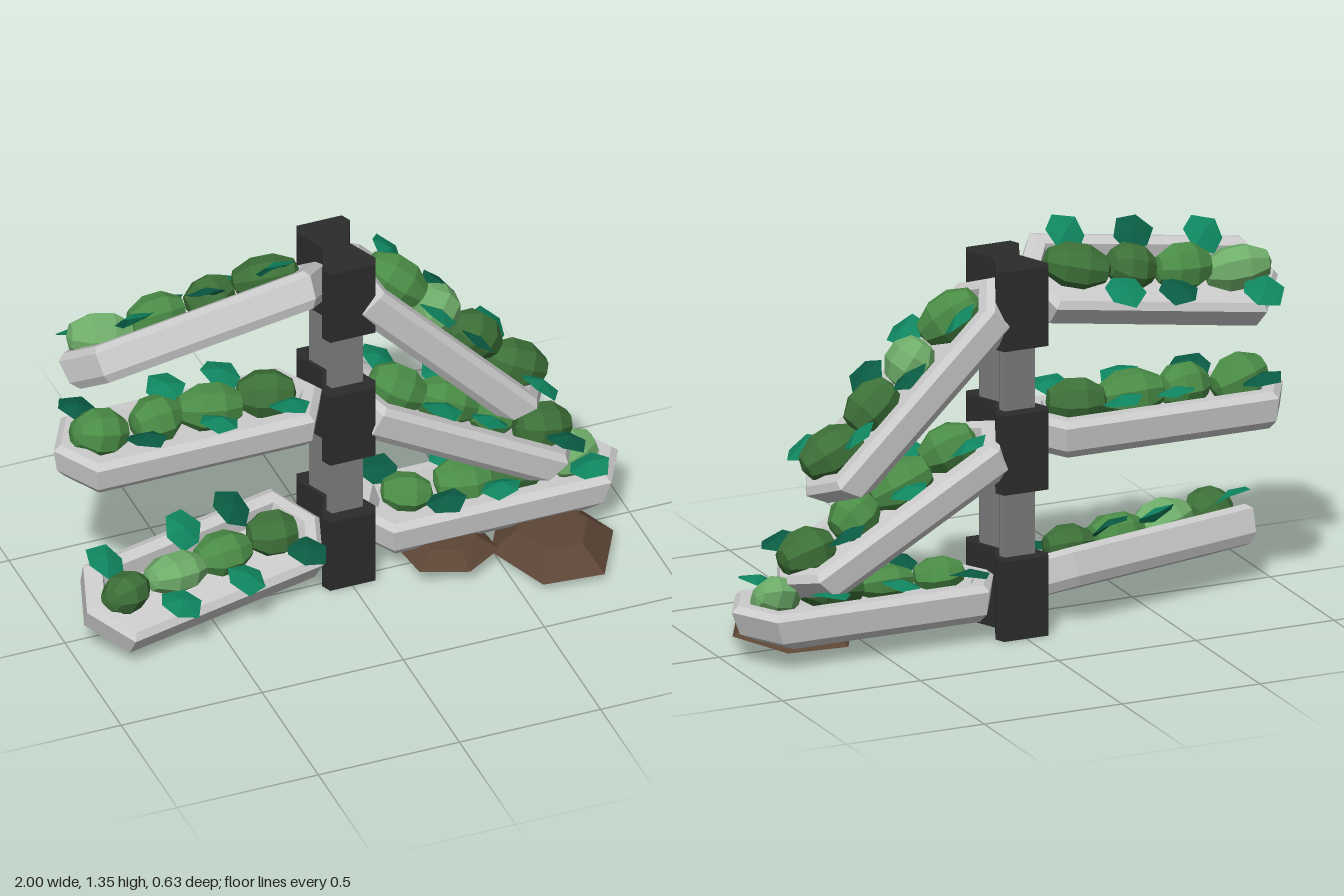
import * as THREE from 'three';

const mat = (color, side = THREE.FrontSide) =>
  new THREE.MeshStandardMaterial({ color, flatShading: true, side });
const GREY = mat(0xcccccc), POST = mat(0x7a7a7a), BLOCK = mat(0x2b2b2b), SOIL = mat(0x5c4535);
const GREENS = [0x3d7038, 0x4a8c46, 0x6fae6a].map((c) => mat(c)); // dark, mid, light
const LEAF = mat(0x0f8560, THREE.DoubleSide), DARK_LEAF = mat(0x0a5c44, THREE.DoubleSide);

function add(parent, name, geometry, material, x = 0, y = 0, z = 0) {
  const mesh = new THREE.Mesh(geometry, material);
  mesh.name = name;
  mesh.position.set(x, y, z);
  parent.add(mesh);
  return mesh;
}

// Joins rings of equal length and closes both ends
function loft(rings) {
  const pos = [], n = rings[0].length;
  const tri = (a, b, c) => pos.push(...a, ...b, ...c);
  for (let r = 0; r < rings.length - 1; r++) {
    for (let i = 0; i < n; i++) {
      const j = (i + 1) % n, A = rings[r], B = rings[r + 1];
      tri(A[i], B[i], B[j]);
      tri(A[i], B[j], A[j]);
    }
  }
  const first = rings[0], last = rings[rings.length - 1];
  for (let i = 1; i < n - 1; i++) {
    tri(first[0], first[i], first[i + 1]);
    tri(last[0], last[i + 1], last[i]);
  }
  const g = new THREE.BufferGeometry();
  g.setAttribute('position', new THREE.Float32BufferAttribute(pos, 3));
  g.computeVertexNormals();
  return g;
}

// Long six-sided tray running along +x with its rim at y = 0
function trayGeometry(length, taper) {
  const HW = 0.165;
  const ring = (inset, y, cut = 0) => {
    const w = HW - inset, a = inset * 1.1, b = length - a - cut * taper, t = 0.09 * w / HW;
    return [[a, y, 0], [a + t, y, w], [b - t, y, w], [b, y, 0], [b - t, y, -w], [a + t, y, -w]];
  };
  return loft([
    ring(0.085, -0.06), ring(0.06, 0), ring(0.022, 0), ring(0, -0.02),
    ring(0.01, -0.1, 0.02), ring(0.035, -0.13, 0.055),
  ]);
}

// Hourglass prism with clipped corners for the post
function postGeometry(scale, height) {
  const half = [[0.045, 0], [0.095, 0.115], [0.08, 0.15], [-0.08, 0.15], [-0.095, 0.115]];
  const outline = [...half, ...half.map(([x, y]) => [-x, -y])];
  const s = new THREE.Shape(outline.map(([x, y]) => new THREE.Vector2(x * scale, y * scale)));
  return new THREE.ExtrudeGeometry(s, { depth: height, bevelEnabled: false }).rotateX(-Math.PI / 2);
}

// Creased broad leaf growing along +z
function leafGeometry() {
  const g = new THREE.BufferGeometry();
  g.setAttribute('position', new THREE.Float32BufferAttribute([
    0, 0, 0, -0.055, 0.01, 0.035, 0.06, 0.01, 0.045, -0.07, 0.012, 0.105, 0.055, 0.012, 0.12,
    0, 0.03, 0.08, -0.01, 0, 0.155], 3));
  g.setIndex([0, 1, 5, 1, 3, 5, 3, 6, 5, 0, 5, 2, 2, 5, 4, 4, 5, 6]);
  g.computeVertexNormals();
  return g;
}

export function createModel() {
  const model = new THREE.Group();
  model.name = 'verticalPlanter';

  // Post with three dark collars
  const post = new THREE.Group();
  post.name = 'post';
  model.add(post);
  add(post, 'postCore', postGeometry(0.68, 1.2), POST, 0, 0.04, -0.1);
  for (const y of [0, 0.507, 1.005]) add(post, 'collar', postGeometry(1, 0.275), BLOCK, 0, y, -0.1);

  // Six planted trays: start, heading, pitch, roll, length, end taper, plant height, bush shades
  const trays = [
    { name: 'lowerLeftTray', at: [0.05, 0.205, -0.1], yaw: 0, pitch: 0, roll: 0, len: 0.95, taper: 1, low: 0.7, greens: [1, 1, 0, 2] },
    { name: 'middleLeftTray', at: [0.035, 0.732, -0.1], yaw: 0, pitch: -0.513, roll: 0, len: 0.93, taper: 1, low: 1, greens: [1, 1, 1, 0] },
    { name: 'upperLeftTray', at: [0.055, 1.23, -0.1], yaw: -0.09, pitch: -0.8, roll: 0, len: 0.955, taper: 1, low: 1, greens: [1, 2, 0, 0] },
    { name: 'lowerRightTray', at: [-0.06, 0.215, -0.085], yaw: Math.PI + 0.235, pitch: 0, roll: -0.42, len: 0.935, taper: 0, low: 0.85, greens: [0, 1, 2, 0] },
    { name: 'middleRightTray', at: [-0.05, 0.73, -0.1], yaw: Math.PI, pitch: 0, roll: 0, len: 0.95, taper: 0, low: 1, greens: [0, 1, 1, 1] },
    { name: 'upperRightTray', at: [-0.05, 1.237, -0.1], yaw: Math.PI, pitch: -0.15, roll: 0.58, len: 0.95, taper: 0, low: 0.85, greens: [0, 0, 1, 2] },
  ];
  // Faceted bush lying along x
  const bushGeo = new THREE.LatheGeometry([[0, -1], [0.55, -0.88], [0.97, -0.3], [0.97, 0.35],
    [0.55, 0.9], [0, 1]].map(([r, y]) => new THREE.Vector2(r, y)), 8).rotateZ(Math.PI / 2);
  const leafGeo = leafGeometry();
  // Leaves: position along the tray, side, twist
  const leaves = [[0.18, -1, 0.5], [0.37, -1, -0.3], [0.68, -1, 0.4], [0.27, 1, 0.3],
    [0.52, 1, -0.4], [0.76, 1, 0.6]];

  trays.forEach((t, k) => {
    const tray = new THREE.Group();
    tray.name = t.name;
    tray.position.set(...t.at);
    tray.rotation.set(t.roll, t.yaw, t.pitch, 'YZX');
    model.add(tray);
    add(tray, 'trough', trayGeometry(t.len, t.taper), GREY);

    // Row of bushes
    [0.2, 0.4, 0.59, 0.79].forEach((x, i) => {
      const b = add(tray, 'bush', bushGeo, GREENS[t.greens[i]], x, 0.015 * t.low, 0);
      b.scale.set(0.088 + 0.014 * ((i + k) % 3), 0.083 * t.low, 0.083);
      b.rotation.set(i * 0.4, i * 0.2 - 0.3, ((i + k) % 3 - 1) * 0.12);
    });

    // Leaves leaning out over both long sides
    leaves.forEach(([x, side, twist], i) => {
      const leaf = add(tray, 'leaf', leafGeo, (i + k) % 3 ? LEAF : DARK_LEAF,
        x + 0.02 * (k % 3), 0.015, side * 0.055);
      leaf.rotation.set(-0.2 * t.low, (side < 0 ? Math.PI : 0) + twist, 0.15 * side, 'YXZ');
    });
  });

  // Soil mounds under the lower left tray
  const mound = (x, y, z, rx, h, rz, turn) => {
    const geo = new THREE.CylinderGeometry(0.58, 1, 1, 6, 1, false, turn);
    add(model, 'soilMound', geo, SOIL, x, y + h / 2, z).scale.set(rx, h, rz);
  };
  mound(0.69, 0.025, 0.09, 0.21, 0.068, 0.265, 0.45);
  mound(0.345, 0.05, 0.04, 0.17, 0.05, 0.145, 0.1);
  return model;
}
